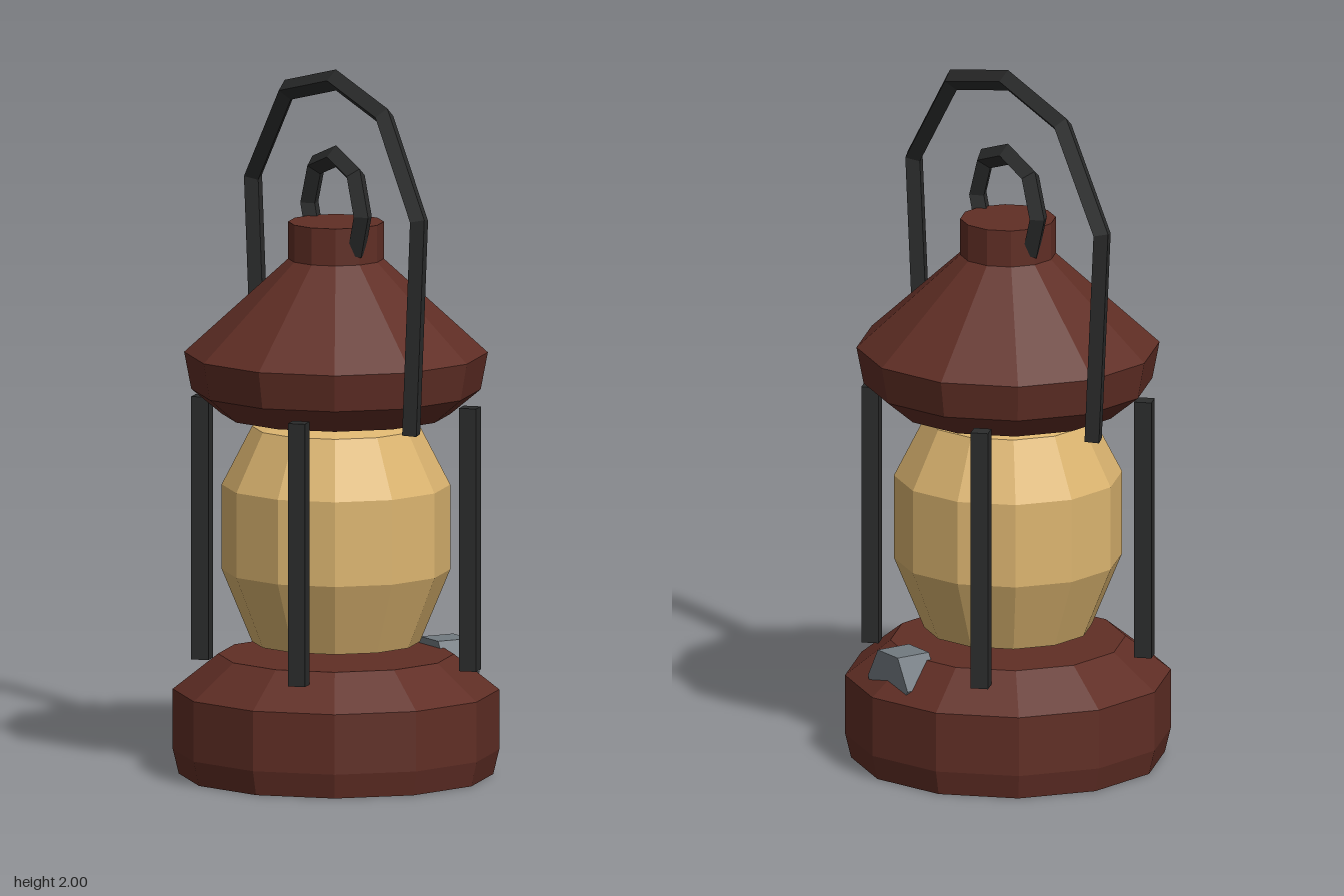
import * as THREE from 'three';

function paint(name, color) {
  const m = new THREE.MeshStandardMaterial({ color, flatShading: true });
  m.name = name;
  return m;
}

// Twelve-sided turned part from [radius, height] pairs, bottom to top
function turned(profile) {
  return new THREE.LatheGeometry(profile.map(([r, y]) => new THREE.Vector2(r, y)), 12);
}

// Diamond-section rod with mitred corners along [z, y] points in the x = 0 plane
function rod(path, r) {
  const pts = path.map(([z, y]) => new THREE.Vector3(0, y, z));
  const X = new THREE.Vector3(1, 0, 0);
  const side = (i) => X.clone().cross(pts[i + 1].clone().sub(pts[i]).normalize());
  const pos = [], idx = [], last = pts.length - 1;
  pts.forEach((p, i) => {
    const a = side(Math.max(i - 1, 0)), b = side(Math.min(i, last - 1));
    const n = a.clone().add(b).normalize();
    n.multiplyScalar(r / n.dot(a));
    const x = X.clone().multiplyScalar(r);
    for (const v of [n, x, n.clone().negate(), x.clone().negate()]) {
      pos.push(...v.add(p).toArray());
    }
  });
  for (let i = 0; i < last; i++) {
    for (let j = 0; j < 4; j++) {
      const a = i * 4 + j, b = i * 4 + (j + 1) % 4;
      idx.push(a, b, b + 4, a, b + 4, a + 4);
    }
  }
  const e = last * 4;
  idx.push(0, 2, 1, 0, 3, 2, e, e + 1, e + 2, e, e + 2, e + 3);
  const g = new THREE.BufferGeometry();
  g.setAttribute('position', new THREE.Float32BufferAttribute(pos, 3));
  g.setIndex(idx);
  g.computeVertexNormals();
  return g;
}

// Complete half an arch (z > 0, ending on z = 0) by mirroring it
function arch(half) {
  return [...half, ...half.slice(0, -1).reverse().map(([z, y]) => [-z, y])];
}

export function createModel() {
  const group = new THREE.Group();
  const rust = paint('rust red paint', 0x602e25);
  const iron = paint('black iron', 0x2b2c2c);
  const amber = paint('amber glass', 0xdcb570);
  const steel = paint('grey steel', 0x727a80);

  const add = (name, geometry, material) => {
    const mesh = new THREE.Mesh(geometry, material);
    mesh.name = name;
    group.add(mesh);
    return mesh;
  };

  // Fuel tank base
  add('base', turned([[0, 0], [0.44, 0], [0.457, 0.07], [0.457, 0.24], [0.33, 0.34], [0, 0.34]]), rust);

  // Glass globe
  add('globe', turned([[0, 0.345], [0.235, 0.375], [0.32, 0.58], [0.32, 0.82], [0.235, 0.985], [0, 1.05]]), amber);

  // Roof with chimney neck
  add('roof', turned([[0, 1.02], [0.32, 1.02], [0.405, 1.09], [0.425, 1.195],
    [0.134, 1.46], [0.134, 1.565], [0, 1.565]]), rust);

  // Four corner posts
  for (const x of [-1, 1]) {
    for (const z of [-1, 1]) {
      const post = add('post', new THREE.CylinderGeometry(0.035, 0.035, 0.745, 4), iron);
      post.position.set(x * 0.275, 0.6825, z * 0.275);
    }
  }

  // Carrying handle and the small hanging loop
  add('handle', rod(arch([[0.428, 1.02], [0.473, 1.63], [0.275, 1.9], [0, 1.966]]), 0.029), iron);
  add('topLoop', rod(arch([[0.115, 1.49], [0.152, 1.6], [0.112, 1.71], [0, 1.75]]), 0.029), iron);

  // Hexagonal fuel cap on the left shoulder of the base
  const cap = new THREE.CylinderGeometry(0.1, 0.1, 0.105, 6).rotateZ(Math.PI / 2);
  add('fuelCap', cap, steel).position.set(0.3525, 0.272, 0);

  return group;
}
